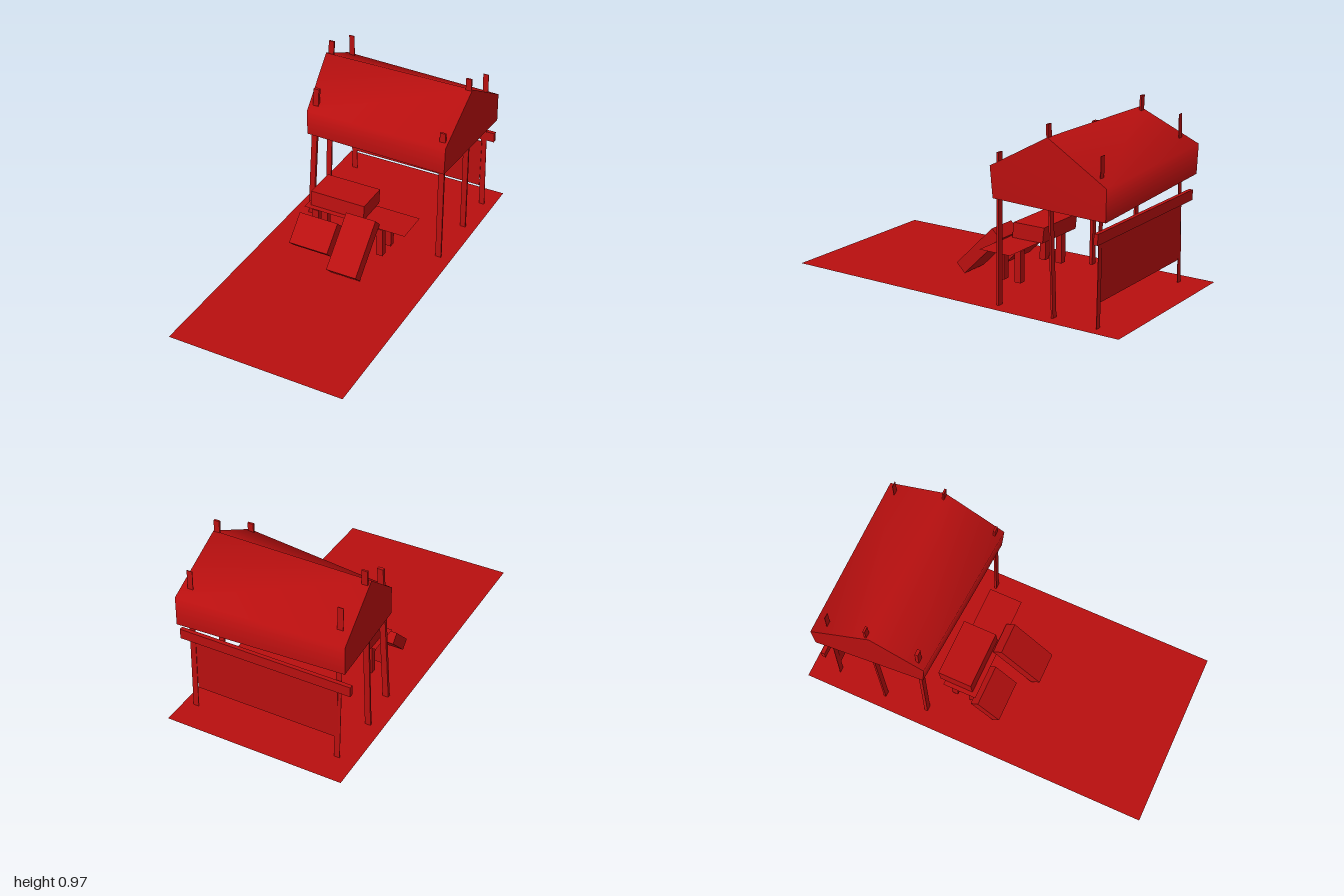
import * as THREE from 'three';

const red = new THREE.MeshStandardMaterial({ color: 0xb80f0f, side: THREE.DoubleSide });
red.name = 'red';

export function createModel() {
  const group = new THREE.Group();

  const add = (name, geometry) => {
    const mesh = new THREE.Mesh(geometry, red);
    mesh.name = name;
    group.add(mesh);
    return mesh;
  };

  // Box given by its limits on each axis
  const box = (name, [x0, x1], [y0, y1], [z0, z1]) => {
    const mesh = add(name, new THREE.BoxGeometry(x1 - x0, y1 - y0, z1 - z0));
    mesh.position.set((x0 + x1) / 2, (y0 + y1) / 2, (z0 + z1) / 2);
    return mesh;
  };

  // Post sheared so that its ends stay level: foot (x, z), head (x, y, z)
  const post = (name, [fx, fz], [hx, hy, hz], width, depth) => {
    const g = new THREE.BoxGeometry(width, hy, depth).translate(0, hy / 2, 0);
    const p = g.attributes.position;
    for (let i = 0; i < p.count; i++) {
      const t = p.getY(i) / hy;
      p.setX(i, p.getX(i) + fx + (hx - fx) * t);
      p.setZ(i, p.getZ(i) + fz + (hz - fz) * t);
    }
    g.computeVertexNormals();
    add(name, g);
  };

  // Ground sheet
  add('ground', new THREE.PlaneGeometry(1, 2).rotateX(-Math.PI / 2));

  // Canopy: front hem, front eave, ridge, back eave, back hem at each end
  const left = [[-0.41, 0.53, -0.3], [-0.405, 0.68, -0.29], [-0.433, 0.903, -0.565],
    [-0.468, 0.74, -0.895], [-0.465, 0.58, -0.89]];
  const right = [[0.445, 0.556, -0.24], [0.452, 0.722, -0.228], [0.45, 0.907, -0.56],
    [0.467, 0.71, -0.9], [0.47, 0.546, -0.9]];
  const surface = (points, index) => {
    const g = new THREE.BufferGeometry();
    g.setAttribute('position', new THREE.Float32BufferAttribute(points.flat(), 3));
    g.setIndex(index);
    g.computeVertexNormals();
    return g;
  };
  const strip = [];
  for (let i = 0; i < 4; i++) strip.push(i, i + 5, i + 6, i, i + 6, i + 1);
  add('canopyRoof', surface([...left, ...right], strip));
  add('leftGable', surface([...right].reverse(), [0, 1, 2, 0, 2, 3, 0, 3, 4]));
  add('rightGable', surface(left, [0, 1, 2, 0, 2, 3, 0, 3, 4]));

  // Posts
  post('frontLeftPost', [0.423, -0.265], [0.42, 0.79, -0.265], 0.033, 0.012);
  post('frontRightPost', [-0.397, -0.313], [-0.365, 0.81, -0.335], 0.033, 0.018);
  post('middleLeftPost', [0.425, -0.59], [0.43, 0.97, -0.59 + 0.035], 0.032, 0.011);
  post('middleRightPost', [-0.418, -0.555], [-0.41, 0.97, -0.59], 0.032, 0.011);
  post('backLeftPost', [0.43, -0.845], [0.41, 0.85, -0.842], 0.032, 0.003);
  post('backRightPost', [-0.395, -0.845], [-0.405, 0.9, -0.817], 0.032, 0.003);

  // Back panel and rail
  box('backPanel', [-0.4, 0.41], [0.125, 0.42], [-0.842, -0.839]);
  box('backRail', [-0.48, 0.48], [0.432, 0.488], [-0.865, -0.843]);

  // Table
  const top = add('tableTop', new THREE.PlaneGeometry(0.61, 0.19).rotateX(-Math.PI / 2));
  top.position.set(0.005, 0.223, -0.155);
  for (const x of [-0.245, 0.15])
    for (const z of [-0.1, -0.203])
      box('tableLeg', [x - 0.02, x + 0.02], [0.03, 0.203], [z - 0.018, z + 0.018]);

  // Crate on the table, leaning slightly back
  const crate = new THREE.BoxGeometry(0.325, 0.085, 0.19);
  crate.applyMatrix4(new THREE.Matrix4().set(1, 0, 0, 0, 0, 1, 0, 0, 0, -0.1, 1, 0, 0, 0, 0, 1));
  add('tableCrate', crate).position.set(-0.113, 0.268, -0.187);

  // Crates tilted against the table
  const tilted = (name, x0, x1, length, thick, y, z) => {
    const mesh = add(name, new THREE.BoxGeometry(x1 - x0, thick, length));
    mesh.position.set((x0 + x1) / 2, y, z);
    mesh.rotation.x = Math.PI / 4;
  };
  tilted('longTiltedCrate', -0.025, 0.152, 0.325, 0.072, 0.15, 0.06);
  tilted('shortTiltedCrate', -0.317, -0.082, 0.177, 0.062, 0.108, 0.003);

  return group;
}
